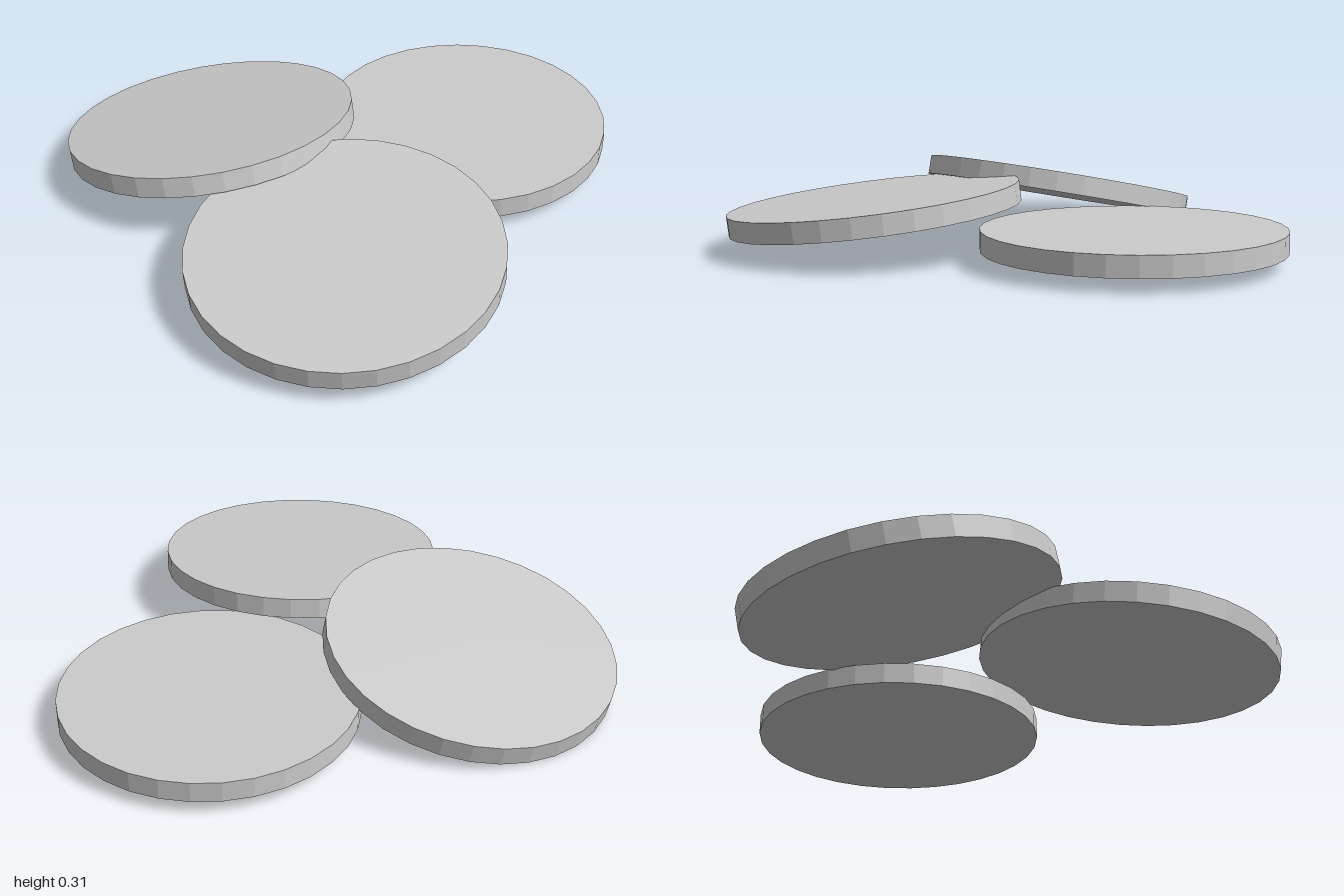
import * as THREE from 'three';

const RADIUS = 0.535;
const THICKNESS = 0.075;

export function createModel() {
  const group = new THREE.Group();
  group.name = 'discs';
  const material = new THREE.MeshStandardMaterial({ color: 0xcccccc, flatShading: true });
  const geometry = new THREE.CylinderGeometry(RADIUS, RADIUS, THICKNESS, 32);
  const up = new THREE.Vector3(0, 1, 0);

  // A disc is set by its centre and the direction its top faces
  const addDisc = (name, centre, facing) => {
    const disc = new THREE.Mesh(geometry, material);
    disc.name = name;
    disc.position.set(...centre);
    disc.quaternion.setFromUnitVectors(up, new THREE.Vector3(...facing).normalize());
    group.add(disc);
  };

  // One disc lies flat, the other two lean on the pile
  addDisc('flatDisc', [0.42, 0.087, -0.018], [0, 1, 0]);
  addDisc('backLeaningDisc', [-0.425, 0.154, -0.468], [0, 1, -0.224]);
  addDisc('frontLeaningDisc', [-0.425, 0.16, 0.461], [-0.079, 1, 0.079]);

  return group;
}
